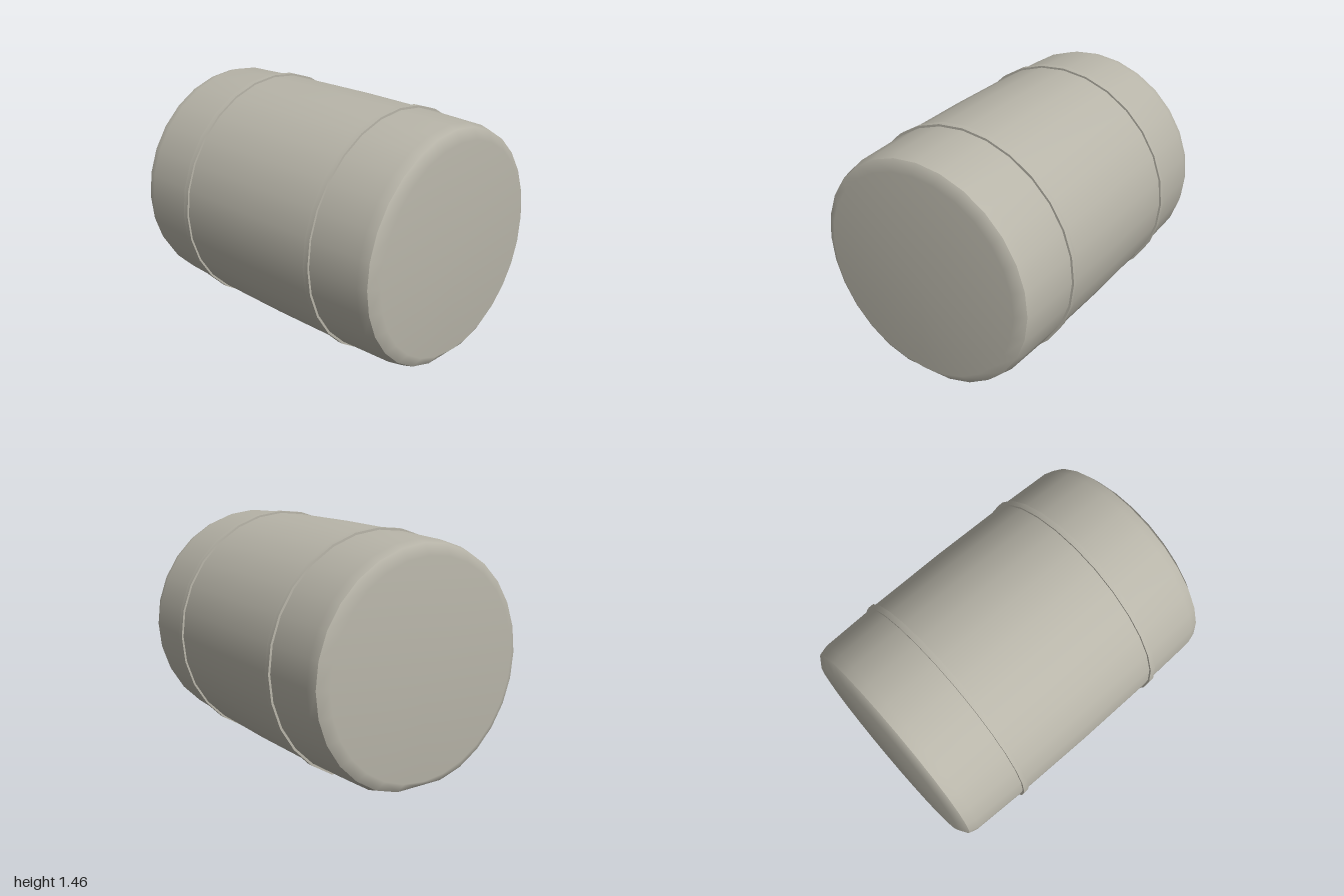
import * as THREE from 'three';
import { mergeVertices } from 'three/addons/utils/BufferGeometryUtils.js';

const SIDES = 28, AXIS_Y = 0.695;

// Lathe [x, radius] pairs about the x axis, flattened where it rests on the ground
function roll(profile, floor) {
  const points = profile.map(([x, r]) => new THREE.Vector2(r, x));
  let geo = new THREE.LatheGeometry(points, SIDES);
  geo.rotateZ(-Math.PI / 2).translate(0, AXIS_Y, 0);
  const pos = geo.attributes.position;
  for (let i = 0; i < pos.count; i++) pos.setY(i, Math.max(floor, pos.getY(i)));
  geo.deleteAttribute('uv');
  geo.deleteAttribute('normal');
  geo = mergeVertices(geo, 1e-4);
  geo.computeVertexNormals();
  return geo;
}

export function createModel() {
  const group = new THREE.Group();
  const straw = new THREE.MeshStandardMaterial({ color: 0xb8b5a9 });
  straw.name = 'pale straw grey';

  const add = (name, profile, floor = 0) => {
    const mesh = new THREE.Mesh(roll(profile, floor), straw);
    mesh.name = name;
    group.add(mesh);
  };

  // Slightly barrelled side wall
  add('baleBody', [
    [-0.96, 0.72], [-0.9, 0.737], [-0.5, 0.75], [0, 0.755],
    [0.5, 0.75], [0.9, 0.737], [0.96, 0.72],
  ]);

  // Bevelled end faces
  add('rightEnd', [[-1, 0], [-1, 0.655], [-0.96, 0.72]]);
  add('leftEnd', [[0.96, 0.72], [1, 0.655], [1, 0]]);

  // Thin binding bands, tucked into the bale underneath
  for (const [name, x] of [['rightBand', -0.535], ['leftBand', 0.535]]) {
    const a = x - 0.018, b = x + 0.018;
    add(name, [[a, 0.745], [a, 0.762]], 0.01);
    add(name, [[a, 0.762], [b, 0.762]], 0.01);
    add(name, [[b, 0.762], [b, 0.745]], 0.01);
  }
  return group;
}
